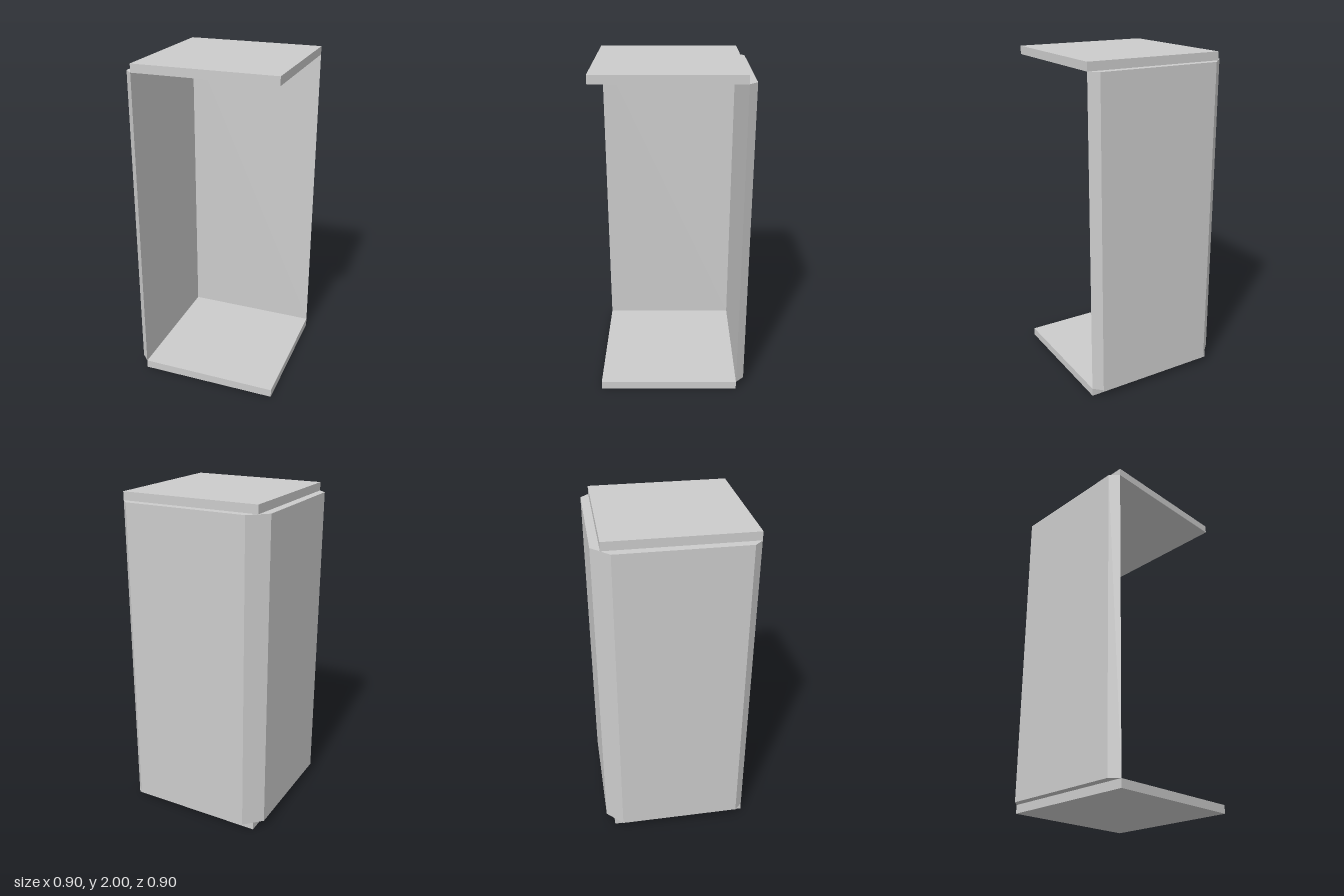
import * as THREE from 'three';

const T = 0.05;            // panel thickness
const IN = -0.4, OUT = 0.45; // inner extents of the cabinet in x and z
const HEIGHT = 2;

export function createModel() {
  const group = new THREE.Group();
  const material = new THREE.MeshStandardMaterial({ color: 0xcccccc, flatShading: true });

  const add = (name, geometry) => {
    const mesh = new THREE.Mesh(geometry, material);
    mesh.name = name;
    group.add(mesh);
    return mesh;
  };

  // Square floor and roof slabs
  const size = OUT - IN, mid = (OUT + IN) / 2;
  for (const [name, y] of [['floor', T / 2], ['roof', HEIGHT - T / 2]]) {
    add(name, new THREE.BoxGeometry(size, T, size)).position.set(mid, y, mid);
  }

  // Upright wall from a plan outline of [x, z] points
  const wall = (name, plan) => {
    const shape = new THREE.Shape(plan.map(([x, z]) => new THREE.Vector2(x, -z)));
    const geometry = new THREE.ExtrudeGeometry(shape, { depth: HEIGHT - 2 * T, bevelEnabled: false });
    geometry.rotateX(-Math.PI / 2);
    add(name, geometry).position.y = T;
  };

  // Walls with mitred ends, meeting along the inner corner
  const plan = [[IN, IN], [OUT, IN], [OUT - T, IN - T], [IN + T, IN - T]];
  wall('backWall', plan);
  wall('sideWall', plan.map(([x, z]) => [z, x]));

  return group;
}
